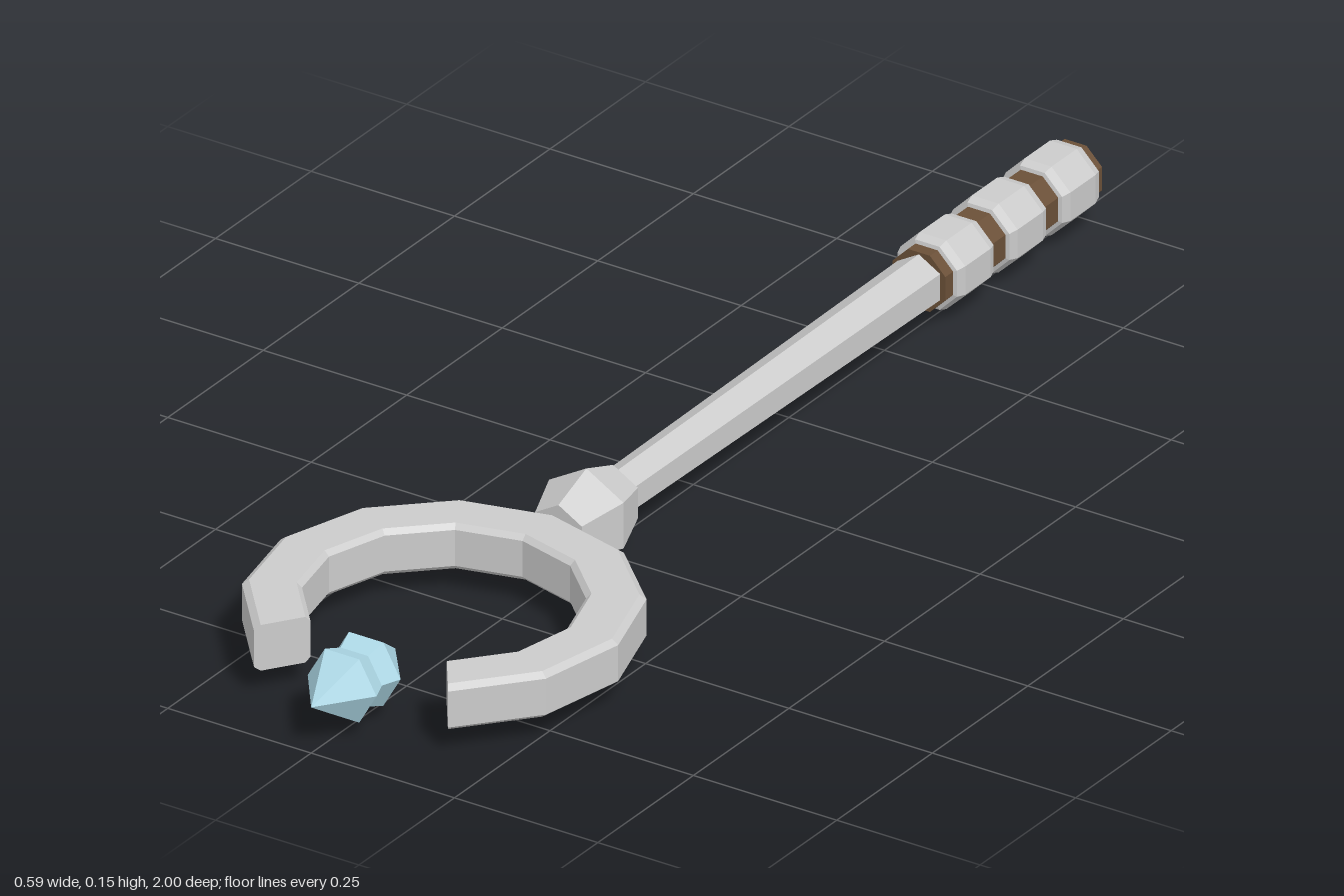
import * as THREE from 'three';

const AXIS_Y = 0.075;

const material = (color) => new THREE.MeshStandardMaterial({ color, flatShading: true });

// Faceted solid turned about the z axis; profile is [radius, z] from back to front
function turned(name, profile, sides, turn, mat) {
  const points = profile.map(([r, z]) => new THREE.Vector2(r, z));
  const geometry = new THREE.LatheGeometry(points, sides, turn);
  geometry.rotateX(Math.PI / 2);
  const mesh = new THREE.Mesh(geometry, mat);
  mesh.name = name;
  mesh.position.y = AXIS_Y;
  return mesh;
}

// Open ring: a chamfered rectangular section swept around a vertical axis
function openRing(inner, outer, halfHeight, chamfer, halfAngle, segments) {
  const h = halfHeight, c = chamfer;
  const section = [
    [outer, -h + c], [outer, h - c], [outer - c * 1.3, h], [inner + c, h],
    [inner, h - c], [inner, -h + c], [inner + c, -h], [outer - c * 1.3, -h],
  ];
  const n = section.length;
  const positions = [], index = [];
  for (let i = 0; i <= segments; i++) {
    const a = -halfAngle + (2 * halfAngle * i) / segments;
    for (const [r, y] of section) positions.push(r * Math.sin(a), y, -r * Math.cos(a));
  }
  for (let i = 0; i < segments; i++) {
    for (let j = 0; j < n; j++) {
      const k = (j + 1) % n;
      const p = i * n + j, q = i * n + k;
      index.push(p, q, q + n, p, q + n, p + n);
    }
  }
  // End faces
  const last = segments * n;
  for (let j = 1; j < n - 1; j++) {
    index.push(0, j + 1, j);
    index.push(last, last + j, last + j + 1);
  }
  const geometry = new THREE.BufferGeometry();
  geometry.setAttribute('position', new THREE.Float32BufferAttribute(positions, 3));
  geometry.setIndex(index);
  geometry.computeVertexNormals();
  return geometry;
}

export function createModel() {
  const model = new THREE.Group();
  model.name = 'staff';
  const grey = material(0xcccccc);
  const brown = material(0x6b5038);
  const blue = material(0xadd8e6);

  // Tapered six-sided shaft
  model.add(turned('shaft', [[0, -0.6], [0.043, -0.6], [0.036, 0.22], [0, 0.22]], 6, 0, grey));

  // Eight-sided grip with three raised bands
  const eighth = Math.PI / 8;
  model.add(turned('grip', [[0, -1], [0.05, -1], [0.05, -0.59], [0, -0.59]], 8, eighth, brown));
  const bands = new THREE.Group();
  bands.name = 'gripBands';
  for (const z of [-0.935, -0.797, -0.66]) {
    bands.add(turned('gripBand', [
      [0.049, z - 0.05], [0.056, z - 0.048], [0.061, z - 0.033],
      [0.061, z + 0.033], [0.056, z + 0.048], [0.049, z + 0.05],
    ], 8, eighth, grey));
  }
  model.add(bands);

  // Collar between shaft and ring
  model.add(turned('collar', [
    [0, 0.21], [0.05, 0.21], [0.075, 0.28], [0.047, 0.353], [0, 0.353],
  ], 6, 0, grey));

  // Ring head, open towards the front
  const ring = new THREE.Mesh(
    openRing(0.207, 0.295, 0.0375, 0.008, THREE.MathUtils.degToRad(145), 10), grey);
  ring.name = 'ringHead';
  ring.position.set(0, AXIS_Y, 0.654);
  model.add(ring);

  // Crystal floating in the opening
  model.add(turned('crystal', [
    [0, 0.78], [0.06, 0.856], [0.048, 0.887], [0.06, 0.919], [0, 1],
  ], 6, Math.PI / 6, blue));

  return model;
}
